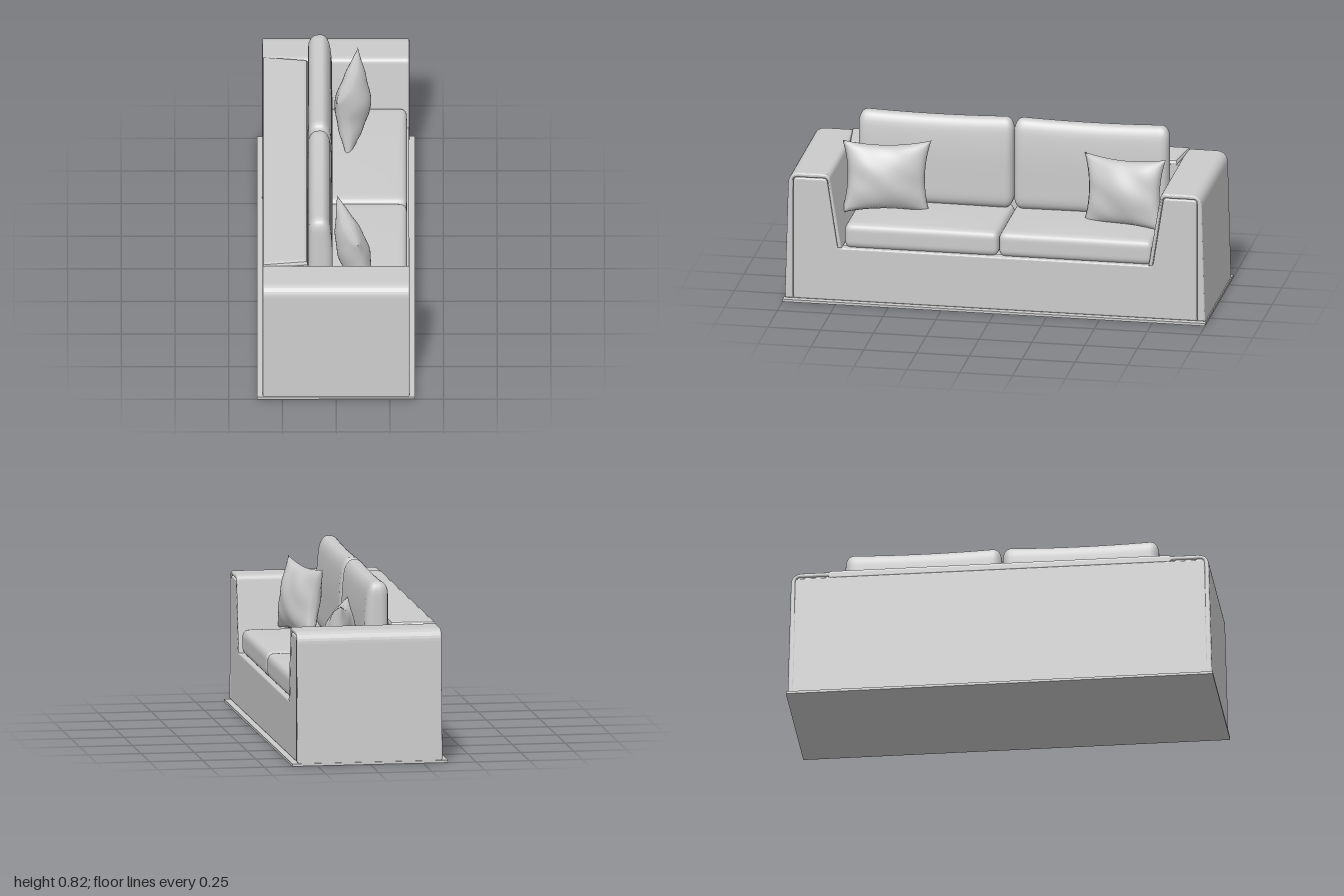
import * as THREE from 'three';
import { mergeVertices } from 'three/addons/utils/BufferGeometryUtils.js';

const material = new THREE.MeshStandardMaterial({ color: 0xcccccc });

function add(parent, name, geometry, x = 0, y = 0, z = 0) {
  const mesh = new THREE.Mesh(geometry, material);
  mesh.name = name;
  mesh.position.set(x, y, z);
  parent.add(mesh);
  return mesh;
}

// Outline with rounded corners; each point is [x, y, radius]
function roundedShape(points) {
  const shape = new THREE.Shape();
  const n = points.length;
  points.forEach(([x, y, r = 0], i) => {
    const p = new THREE.Vector2(x, y);
    const toward = (q) => new THREE.Vector2(q[0], q[1]).sub(p).setLength(r).add(p);
    const a = toward(points[(i + n - 1) % n]);
    const b = toward(points[(i + 1) % n]);
    if (i === 0) shape.moveTo(a.x, a.y);
    else shape.lineTo(a.x, a.y);
    if (r > 0) shape.quadraticCurveTo(x, y, b.x, b.y);
  });
  shape.closePath();
  return shape;
}

// Extrude a (z, y) outline along x with softened edges
function extrudeAlongX(shape, x0, x1, bevel) {
  const geometry = new THREE.ExtrudeGeometry(shape, {
    depth: x1 - x0 - 2 * bevel, curveSegments: 8,
    bevelEnabled: true, bevelSize: bevel, bevelThickness: bevel, bevelOffset: -bevel, bevelSegments: 4,
  });
  return geometry.translate(0, 0, x0 + bevel).rotateY(Math.PI / 2);
}

// Apply a rule to every vertex, then weld and smooth
function sculpt(geometry, rule) {
  const pos = geometry.attributes.position;
  const p = new THREE.Vector3();
  for (let i = 0; i < pos.count; i++) {
    rule(p.fromBufferAttribute(pos, i));
    pos.setXYZ(i, p.x, p.y, p.z);
  }
  geometry.deleteAttribute('uv');
  geometry.deleteAttribute('normal');
  const welded = mergeVertices(geometry, 1e-5);
  welded.computeVertexNormals();
  return welded;
}

// Soft block: half sizes, corner radii per axis, and an optional shaping rule
function cushion(half, radius, shapeRule = () => {}) {
  const axes = ['x', 'y', 'z'];
  return sculpt(new THREE.BoxGeometry(2, 2, 2, 20, 20, 28), (p) => {
    const core = new THREE.Vector3();
    const offset = new THREE.Vector3();
    for (const k of axes) {
      const v = Math.sin(p[k] * Math.PI / 2) * half[k];
      const limit = half[k] - radius[k];
      core[k] = THREE.MathUtils.clamp(v, -limit, limit);
      offset[k] = (v - core[k]) / radius[k];
    }
    offset.normalize().multiply(radius);
    p.copy(core).add(offset);
    shapeRule(p, p.clone().divide(half));
  });
}

// Throw pillow: pinched sides, pointed corners, light creases
function pillowGeometry(seed) {
  return sculpt(new THREE.BoxGeometry(2, 2, 2, 1, 28, 28), (p) => {
    const { x: side, y: v, z: u } = p;
    const du = 1 - u * u, dv = 1 - v * v;
    const puff = Math.pow(Math.max(du * dv, 0), 0.55);
    const crease = 0.006 * Math.sin(5 * u * v + seed) * Math.sin(4 * (u - v) + seed) * Math.sqrt(Math.max(du * dv, 0));
    p.set(
      side * (0.072 * puff + crease),
      v * 0.172 * (1 - 0.13 * du),
      u * 0.207 * (1 - 0.13 * dv),
    );
  });
}

export function createModel() {
  const sofa = new THREE.Group();
  sofa.name = 'sofa';

  add(sofa, 'basePlate', new THREE.BoxGeometry(0.735, 0.012, 2), 0, 0.006, 0);
  add(sofa, 'seatDeck', new THREE.BoxGeometry(0.6, 0.25, 1.8), 0, 0.137, 0);

  // Arms: solid core with a wrap-over cover that stands around the front panel
  for (const s of [1, -1]) {
    const name = s > 0 ? 'right' : 'left';
    const mirror = (pts) => pts.map(([x, y, r]) => [s * x, y, r]);
    const core = roundedShape(mirror([
      [0.7, 0.02], [0.975, 0.02], [0.97, 0.61, 0.03], [0.79, 0.61, 0.02], [0.74, 0.265],
    ]));
    add(sofa, name + 'ArmCore', extrudeAlongX(core, -0.335, 0.325, 0.005));
    const cover = roundedShape(mirror([
      [0.958, 0.012], [0.995, 0.012], [0.978, 0.627, 0.055], [0.785, 0.627, 0.025],
      [0.727, 0.268], [0.745, 0.268], [0.796, 0.606, 0.012], [0.957, 0.606, 0.02],
    ]));
    add(sofa, name + 'ArmCover', extrudeAlongX(cover, -0.342, 0.342, 0.008));
  }

  // Front panel: one U-shaped piece running up both arms
  const u = [[0.955, 0.012], [0.955, 0.603, 0.02], [0.798, 0.603, 0.015], [0.747, 0.27, 0.01]];
  const front = roundedShape([...u, ...u.slice().reverse().map(([x, y, r]) => [-x, y, r])]);
  add(sofa, 'frontPanel', extrudeAlongX(front, 0.29, 0.341, 0.008));

  // Back: flush panel between the arms, and a capped rail with mitred ends
  const backPanel = roundedShape([[-0.975, 0.012], [0.975, 0.012], [0.96, 0.6, 0.02], [-0.96, 0.6, 0.02]]);
  add(sofa, 'backPanel', extrudeAlongX(backPanel, -0.343, -0.3, 0.006));
  const rail = new THREE.BoxGeometry(0.21, 0.37, 1.58, 1, 1, 1);
  add(sofa, 'backRail', rail, -0.235, 0.43, 0);
  const cap = new THREE.ExtrudeGeometry(
    roundedShape([[-0.8, -0.342], [0.8, -0.342], [0.775, -0.133], [-0.775, -0.133]]),
    { depth: 0.02, bevelEnabled: true, bevelSize: 0.016, bevelThickness: 0.014, bevelOffset: -0.016, bevelSegments: 2 },
  );
  // Outline is (z, x); turn it so that the depth runs upward
  cap.applyMatrix4(new THREE.Matrix4().makeBasis(
    new THREE.Vector3(0, 0, 1), new THREE.Vector3(1, 0, 0), new THREE.Vector3(0, 1, 0)));
  add(sofa, 'backRailCap', cap, 0, 0.602, 0);

  // Seat and back cushions in pairs
  const seat = cushion(new THREE.Vector3(0.23, 0.06, 0.364), new THREE.Vector3(0.03, 0.035, 0.03), (p, n) => {
    if (n.y > 0) p.y += 0.008 * n.y * (1 - n.x * n.x) * (1 - n.z * n.z);
  });
  const back = cushion(new THREE.Vector3(0.056, 0.22, 0.366), new THREE.Vector3(0.045, 0.06, 0.04), (p, n) => {
    if (n.x > 0) p.x -= 0.02 * n.x * Math.max(0, n.y) ** 2;
    if (n.y > 0) p.y -= 0.009 * n.y * (1 - n.z * n.z);
  });
  for (const s of [1, -1]) {
    const name = s > 0 ? 'left' : 'right';
    add(sofa, name + 'SeatCushion', seat, 0.1, 0.325, s * 0.365 - 0.013);
    add(sofa, name + 'BackCushion', back, -0.073, 0.602, s * 0.368 - 0.017);
  }

  // Throw pillows leaning against the back cushions
  const leftPillow = add(sofa, 'leftPillow', pillowGeometry(0.6), 0.078, 0.545, 0.562);
  leftPillow.rotation.set(-0.03, 0.24, 0.15);
  const rightPillow = add(sofa, 'rightPillow', pillowGeometry(2.1), 0.078, 0.535, -0.565);
  rightPillow.rotation.set(0.04, -0.24, 0.15);

  return sofa;
}
